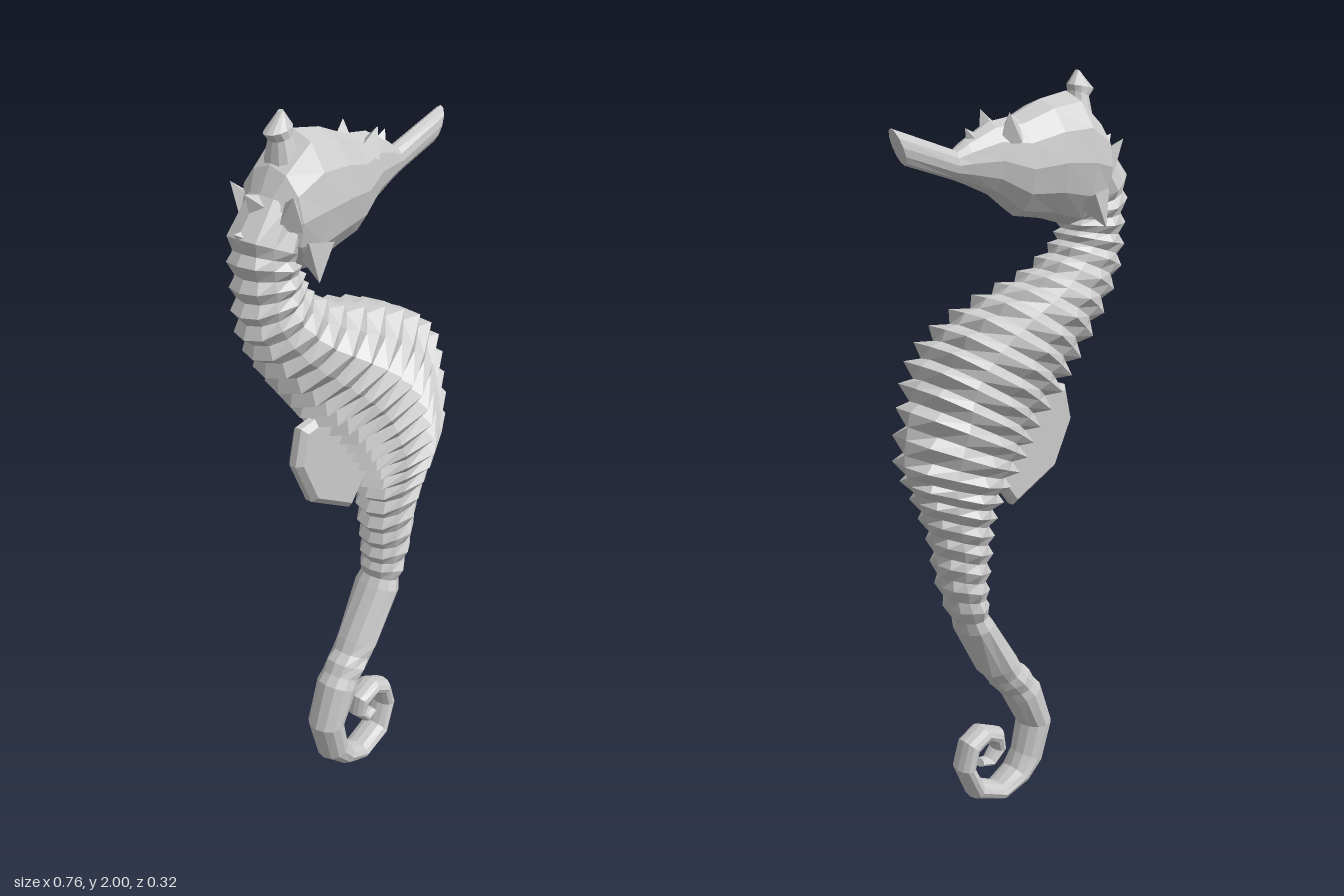
import * as THREE from 'three';

const SIDES = 12;
const mat = new THREE.MeshStandardMaterial({ color: 0xcccccc, flatShading: true, side: THREE.DoubleSide });

// Skin a row of rings. Each ring: edge points a and b in the xy plane, half width w, scale(j) per corner.
function loft(rings) {
  const pos = [], idx = [];
  for (const { a, b, w, scale } of rings) {
    for (let j = 0; j < SIDES; j++) {
      const t = (j / SIDES) * Math.PI * 2, s = scale ? scale(j) : 1;
      const c = Math.cos(t) * s * 0.5;
      pos.push((a.x + b.x) / 2 + (b.x - a.x) * c, (a.y + b.y) / 2 + (b.y - a.y) * c, Math.sin(t) * w * s);
    }
  }
  const last = rings.length - 1;
  for (let i = 0; i < last; i++) {
    for (let j = 0; j < SIDES; j++) {
      const k = (j + 1) % SIDES, p = i * SIDES, q = p + SIDES;
      idx.push(p + j, p + k, q + k, p + j, q + k, q + j);
    }
  }
  for (let j = 1; j < SIDES - 1; j++) {
    idx.push(0, j + 1, j, last * SIDES, last * SIDES + j, last * SIDES + j + 1);
  }
  const g = new THREE.BufferGeometry();
  g.setAttribute('position', new THREE.Float32BufferAttribute(pos, 3));
  g.setIndex(idx);
  g.computeVertexNormals();
  return g;
}

function add(group, name, geometry) {
  const m = new THREE.Mesh(geometry, mat);
  m.name = name;
  group.add(m);
  return m;
}

// Small pyramid from a base point to a tip
function spike(group, name, base, tip, r) {
  const from = new THREE.Vector3(...base), dir = new THREE.Vector3(...tip).sub(from);
  const g = new THREE.ConeGeometry(r, dir.length(), 4).translate(0, dir.length() / 2, 0);
  const m = add(group, name, g);
  m.position.copy(from);
  m.quaternion.setFromUnitVectors(new THREE.Vector3(0, 1, 0), dir.normalize());
}

// Neck to tail tip: back x, back y, belly x, belly y, half width
const BODY = [
  [-0.30, 1.82, -0.17, 1.74, 0.08], [-0.37, 1.73, -0.20, 1.66, 0.09],
  [-0.37, 1.60, -0.18, 1.61, 0.09], [-0.36, 1.48, -0.15, 1.56, 0.09],
  [-0.29, 1.36, -0.05, 1.50, 0.11], [-0.20, 1.25, 0.10, 1.46, 0.13],
  [-0.13, 1.17, 0.24, 1.40, 0.145], [-0.05, 1.09, 0.32, 1.32, 0.15],
  [0.00, 1.02, 0.345, 1.20, 0.155], [0.05, 0.95, 0.365, 1.06, 0.14],
  [0.09, 0.87, 0.32, 0.95, 0.11], [0.10, 0.77, 0.275, 0.83, 0.09],
  [0.11, 0.67, 0.25, 0.70, 0.08], [0.10, 0.58, 0.19, 0.55, 0.07],
  [0.01, 0.44, 0.11, 0.40, 0.065], [-0.08, 0.33, 0.02, 0.29, 0.06],
  [-0.125, 0.20, -0.03, 0.20, 0.055], [-0.09, 0.08, -0.01, 0.12, 0.05],
  [-0.03, 0.03, 0.01, 0.08, 0.05], [0.06, 0.0, 0.06, 0.05, 0.045],
  [0.16, 0.04, 0.13, 0.085, 0.045], [0.205, 0.14, 0.155, 0.14, 0.04],
  [0.18, 0.22, 0.145, 0.18, 0.04], [0.12, 0.25, 0.11, 0.20, 0.04],
  [0.05, 0.22, 0.085, 0.18, 0.035], [0.04, 0.16, 0.075, 0.16, 0.03],
  [0.085, 0.115, 0.095, 0.14, 0.025], [0.13, 0.125, 0.12, 0.145, 0.02],
];

function bodyRings() {
  const curve = (f) => new THREE.CatmullRomCurve3(BODY.map(f), false, 'catmullrom', 0.5);
  const back = curve((r) => new THREE.Vector3(r[0], r[1], r[4]));
  const belly = curve((r) => new THREE.Vector3(r[2], r[3], r[4]));
  const rings = [], n = BODY.length - 1;
  const ring = (t, scale) => {
    const a = back.getPoint(t / n), b = belly.getPoint(t / n);
    rings.push({ a, b, w: a.z, scale });
  };
  for (let i = 0; i < n; i++) {
    const ridged = (i > 0 && i < 13) || i === 14;
    if (!ridged) { ring(i); continue; }
    // Two bony ridges per station, pointed at the keels, each followed by a groove
    const groove = i === 14 ? 0.9 : 0.84;
    for (const t of [i, i + 0.5]) {
      const smoothBelly = t > 7.5;
      ring(t, (j) => (j === 0 && smoothBelly ? 0.98 : j % 2 || j === 6 ? 1.03 : 0.92));
      ring(t + 0.27, (j) => (j === 0 && smoothBelly ? 0.98 : groove));
    }
  }
  ring(n);
  return rings;
}

// Head to snout tip: lower x, lower y, upper x, upper y, half width
const HEAD = [
  [-0.31, 1.70, -0.31, 1.79, 0.05], [-0.25, 1.64, -0.26, 1.88, 0.10],
  [-0.19, 1.605, -0.18, 1.95, 0.115], [-0.09, 1.635, -0.09, 1.935, 0.11],
  [0.00, 1.65, 0.00, 1.90, 0.085], [0.08, 1.71, 0.08, 1.89, 0.06],
  [0.16, 1.745, 0.16, 1.85, 0.038], [0.20, 1.76, 0.19, 1.83, 0.028],
  [0.34, 1.805, 0.38, 1.895, 0.022],
];

export function createModel() {
  const model = new THREE.Group();
  model.name = 'seahorse';

  add(model, 'bodyAndTail', loft(bodyRings()));
  add(model, 'headAndSnout', loft(HEAD.map(([ax, ay, bx, by, w]) => ({
    a: new THREE.Vector2(ax, ay), b: new THREE.Vector2(bx, by), w,
  }))));

  // Crown on top of the head
  add(model, 'crown', loft([
    [-0.18, 1.88, -0.26, 1.86, 0.05], [-0.195, 1.95, -0.25, 1.93, 0.03],
    [-0.19, 1.965, -0.27, 1.95, 0.03], [-0.215, 2.0, -0.225, 1.995, 0.008],
  ].map(([bx, by, ax, ay, w]) => ({
    a: new THREE.Vector2(bx, by), b: new THREE.Vector2(ax, ay), w,
  }))));

  // Brow, cheek and nape spikes
  for (const s of [1, -1]) {
    spike(model, 'browSpike', [0.04, 1.85, 0.04 * s], [0.06, 1.915, 0.055 * s], 0.04);
    spike(model, 'cheekSpike', [-0.2, 1.69, 0.08 * s], [-0.22, 1.61, 0.115 * s], 0.05);
    spike(model, 'napeSideSpike', [-0.26, 1.76, 0.06 * s], [-0.29, 1.83, 0.1 * s], 0.045);
  }
  spike(model, 'noseSpike', [0.12, 1.83, 0], [0.155, 1.88, 0], 0.035);
  spike(model, 'napeSpike', [-0.27, 1.76, 0], [-0.345, 1.83, 0], 0.06);
  spike(model, 'neckSpike', [-0.3, 1.7, 0], [-0.383, 1.745, 0], 0.06);

  // Back fin
  const fin = new THREE.Shape([
    [-0.165, 1.165], [-0.185, 1.08], [-0.13, 0.965], [0.005, 0.895],
    [0.07, 0.98], [0.03, 1.1], [-0.08, 1.18],
  ].map((p) => new THREE.Vector2(...p)));
  const finGeo = new THREE.ExtrudeGeometry(fin, {
    depth: 0.02, bevelEnabled: true, bevelSize: 0.015, bevelThickness: 0.015, bevelSegments: 1,
  }).translate(0, 0, -0.01);
  add(model, 'backFin', finGeo);

  return model;
}
